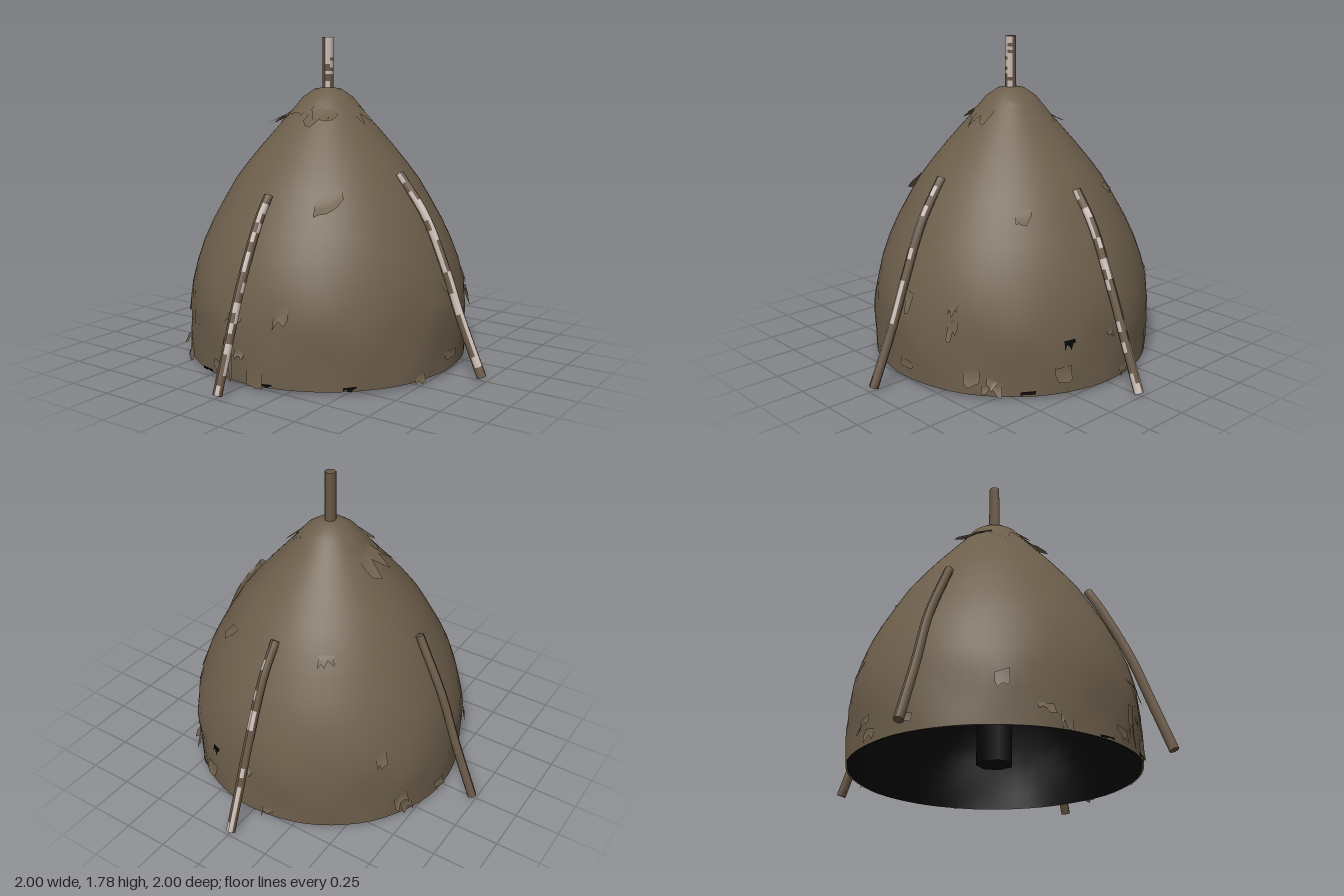
import * as THREE from 'three';
import { mergeVertices } from 'three/addons/utils/BufferGeometryUtils.js';

const mat = (name, color, side = THREE.FrontSide) => {
  const m = new THREE.MeshStandardMaterial({ color, side });
  m.name = name;
  return m;
};

// seeded random numbers
let seed = 7;
const rnd = () => (seed = (seed * 16807) % 2147483647) / 2147483647;

// dome outline as [radius, height]
const PROFILE = [[0.78, 0.03], [0.783, 0.12], [0.783, 0.22], [0.783, 0.32], [0.77, 0.43], [0.74, 0.55], [0.697, 0.67],
  [0.645, 0.78], [0.578, 0.9], [0.513, 1.01], [0.445, 1.1], [0.363, 1.2], [0.275, 1.3], [0.185, 1.4], [0.135, 1.46], [0.07, 1.505], [0, 1.515]];

// radius of the hide at a height, with soft dents near the hem
function hideRadius(a, y) {
  let i = 1;
  while (i < PROFILE.length - 1 && PROFILE[i][1] < y) i++;
  const [r0, y0] = PROFILE[i - 1], [r1, y1] = PROFILE[i];
  const r = THREE.MathUtils.lerp(r0, r1, THREE.MathUtils.clamp((y - y0) / (y1 - y0), 0, 1));
  const low = Math.exp(-(((y - 0.28) / 0.2) ** 2));
  return r + 0.006 * low * (Math.sin(7 * a + 9 * y) + Math.sin(13 * a - 14 * y)) + 0.004 * r * Math.sin(3 * a + 4 * y);
}

const onHide = (a, y, out) => {
  const r = hideRadius(a, y) + out;
  return [r * Math.sin(a) - 0.008, y, r * Math.cos(a)];
};

function shell(points, shape) {
  const g = new THREE.LatheGeometry(points.map(([r, y]) => new THREE.Vector2(r, y)), 64);
  const p = g.attributes.position;
  for (let i = 0; i < p.count; i++) {
    p.setXYZ(i, ...shape(((i / points.length) | 0) % 64 / 64 * Math.PI * 2, points[i % points.length], i % points.length));
  }
  g.deleteAttribute('uv');
  g.deleteAttribute('normal');
  const m = mergeVertices(g, 1e-5);
  m.computeVertexNormals();
  return m;
}

// torn scrap of hide, fixed along its top edge and curling outward below
function scrapGeometry(a, y, w, h, lift, slant) {
  const g = new THREE.PlaneGeometry(1, 1, 5, 3);
  const p = g.attributes.position;
  const jag = Array.from({ length: 6 }, () => 0.35 + rnd() * 0.75);
  for (let i = 0; i < p.count; i++) {
    const u = p.getX(i), down = 0.5 - p.getY(i);
    const yy = Math.max(0.02, y - down * h * jag[i % 6] + slant * u);
    const ang = a + u * w / Math.max(0.15, hideRadius(a, y));
    p.setXYZ(i, ...onHide(ang, yy, 0.004 + lift * down * down * jag[i % 6]));
  }
  g.computeVertexNormals();
  return g;
}

// bent pole with peeling bark: pale faces mostly on the side given by paleDir
function poleGeometry(points, radius, dir, paleDir, share) {
  const sides = 7, rows = 20;
  const g = new THREE.CylinderGeometry(radius, radius * 1.05, 1, sides, rows);
  const curve = new THREE.CatmullRomCurve3(points.map(p => new THREE.Vector3(...p)));
  const u = new THREE.Vector3(0, 1, 0).cross(dir).normalize();
  const p = g.attributes.position;
  for (let i = 0; i < p.count; i++) {
    const t = THREE.MathUtils.clamp(p.getY(i) + 0.5, 0, 1);
    const w = u.clone().cross(curve.getTangentAt(t));
    const q = curve.getPointAt(t).addScaledVector(u, p.getX(i)).addScaledVector(w, p.getZ(i));
    p.setXYZ(i, q.x, q.y, q.z);
  }
  g.computeVertexNormals();
  const idx = Array.from(g.index.array), bark = [], pale = [];
  const quads = sides * rows;
  for (let q = 0; q < quads; q++) {
    const th = ((q / rows | 0) + 0.5) / sides * Math.PI * 2;
    const face = u.clone().multiplyScalar(Math.sin(th)).addScaledVector(dir, Math.cos(th));
    const peeled = face.dot(paleDir) > 0.2 && rnd() < share;
    (peeled ? pale : bark).push(...idx.slice(q * 6, q * 6 + 6));
  }
  bark.push(...idx.slice(quads * 6));
  g.setIndex([...bark, ...pale]);
  g.clearGroups();
  g.addGroup(0, bark.length, 0);
  g.addGroup(bark.length, pale.length, 1);
  return g;
}

export function createModel() {
  const group = new THREE.Group();
  const hide = mat('brown hide', 0x6e5f4c, THREE.DoubleSide);
  const dark = mat('dark interior', 0x040404, THREE.DoubleSide);
  const bark = mat('bark', 0x695947);
  const pale = mat('peeled wood', 0xcbbdb5);
  const add = (name, geo, m, parent = group) => {
    const mesh = new THREE.Mesh(geo, m);
    mesh.name = name;
    parent.add(mesh);
    return mesh;
  };

  // hide cover and its dark lining
  const domeGeo = shell(PROFILE, (a, [r, y]) => (r === 0 ? [-0.008, y, 0] : onHide(a, y, 0)));
  add('hideCover', domeGeo, hide);
  add('lining', domeGeo, dark).scale.set(0.99, 0.992, 0.99);

  // ragged top layer
  const capPts = PROFILE.slice(-5);
  add('topLayer', shell(capPts, (a, [r, y], j) => {
    if (r === 0) return [-0.008, y + 0.004, 0];
    const tear = 0.05 * Math.sin(3 * a + 1) + 0.03 * Math.sin(8 * a) + 0.015 * Math.sin(17 * a);
    return onHide(a, j === 0 ? 1.38 + tear * 0.8 : Math.max(y, 1.38 + tear), 0.005);
  }), hide);

  // torn scraps: angle, top height, width, drop, lift, slant
  const scraps = new THREE.Group();
  scraps.name = 'tornScraps';
  group.add(scraps);
  const tears = [[-1.5, 1.38, 0.14, 0.08, 0.07, 0.03], [-0.4, 1.41, 0.12, 0.06, 0.03, 0.01], [0.5, 1.42, 0.12, 0.08, 0.03, -0.03],
    [1.6, 1.42, 0.1, 0.09, 0.02, 0.02], [0.62, 0.99, 0.14, 0.07, 0.03, 0.06], [0.35, 1.4, 0.1, 0.08, 0.05, 0.02],
    [0.3, 0.45, 0.08, 0.1, 0.02, 0.02], [-0.1, 0.25, 0.06, 0.2, 0.02, 0], [2.0, 0.42, 0.06, 0.1, 0.02, 0.03],
    [2.5, 0.95, 0.08, 0.06, 0.03, 0.02], [-2.2, 0.5, 0.06, 0.1, 0.02, 0.03], [-2.6, 1.0, 0.08, 0.05, 0.03, 0]];
  for (let k = 0; k < 20; k++) {
    const low = k < 15;
    tears.push([k * 2.4 + rnd(), low ? 0.06 + rnd() * 0.16 : 0.25 + rnd() * 0.3, 0.04 + rnd() * 0.07, 0.04 + rnd() * 0.07, 0.01 + rnd() * 0.02, (rnd() - 0.5) * 0.06]);
  }
  for (const t of tears) add('scrap', scrapGeometry(...t), hide, scraps);

  // small holes in the hide
  for (const [a, y, w, h] of [[2.78, 0.32, 0.06, 0.05], [0.75, 0.055, 0.07, 0.025], [0.15, 0.05, 0.14, 0.02], [-0.35, 0.045, 0.1, 0.015], [2.5, 0.06, 0.08, 0.02]]) {
    add('hole', scrapGeometry(a, y, w, h, 0.003, 0.005), dark);
  }

  // leaning poles at the four sides
  const V = (x, y, z) => new THREE.Vector3(x, y, z);
  const poles = [
    ['frontPole', [[0, 0.02, 0.975], [0, 0.28, 0.88], [0, 0.55, 0.78], [0, 0.86, 0.63], [0.01, 0.98, 0.56]], V(0, 0, 1), V(0.8, 0, 0.6), 0.55],
    ['backPole', [[0, 0.02, -0.975], [0, 0.27, -0.875], [0, 0.55, -0.765], [0, 0.86, -0.625], [0, 1.02, -0.51]], V(0, 0, -1), V(0.2, 0, -1), 0.4],
    ['leftPole', [[0.975, 0.03, 0], [0.84, 0.34, 0], [0.75, 0.58, 0], [0.625, 0.86, 0.01], [0.475, 1.07, 0.025]], V(1, 0, 0), V(0.8, 0, 0.6), 0.55],
    ['rightPole', [[-0.975, 0.02, 0], [-0.84, 0.36, 0], [-0.74, 0.64, 0], [-0.57, 0.97, 0.015]], V(-1, 0, 0), V(-1, 0, 0), 0],
  ];
  for (const [name, pts, dir, paleDir, share] of poles) {
    add(name, poleGeometry(pts, 0.025, dir, paleDir, share), [bark, pale]);
  }

  // centre pole above the roof, and the dark post inside
  add('topPole', poleGeometry([[-0.006, 1.42, 0], [-0.006, 1.6, 0], [-0.006, 1.79, 0]], 0.031, V(0, 0, 1), V(1, 0, 0), 0.75), [bark, pale]);
  const post = add('innerPost', new THREE.CylinderGeometry(0.1, 0.1, 1.25, 7), dark);
  post.position.y = 0.7;
  return group;
}
